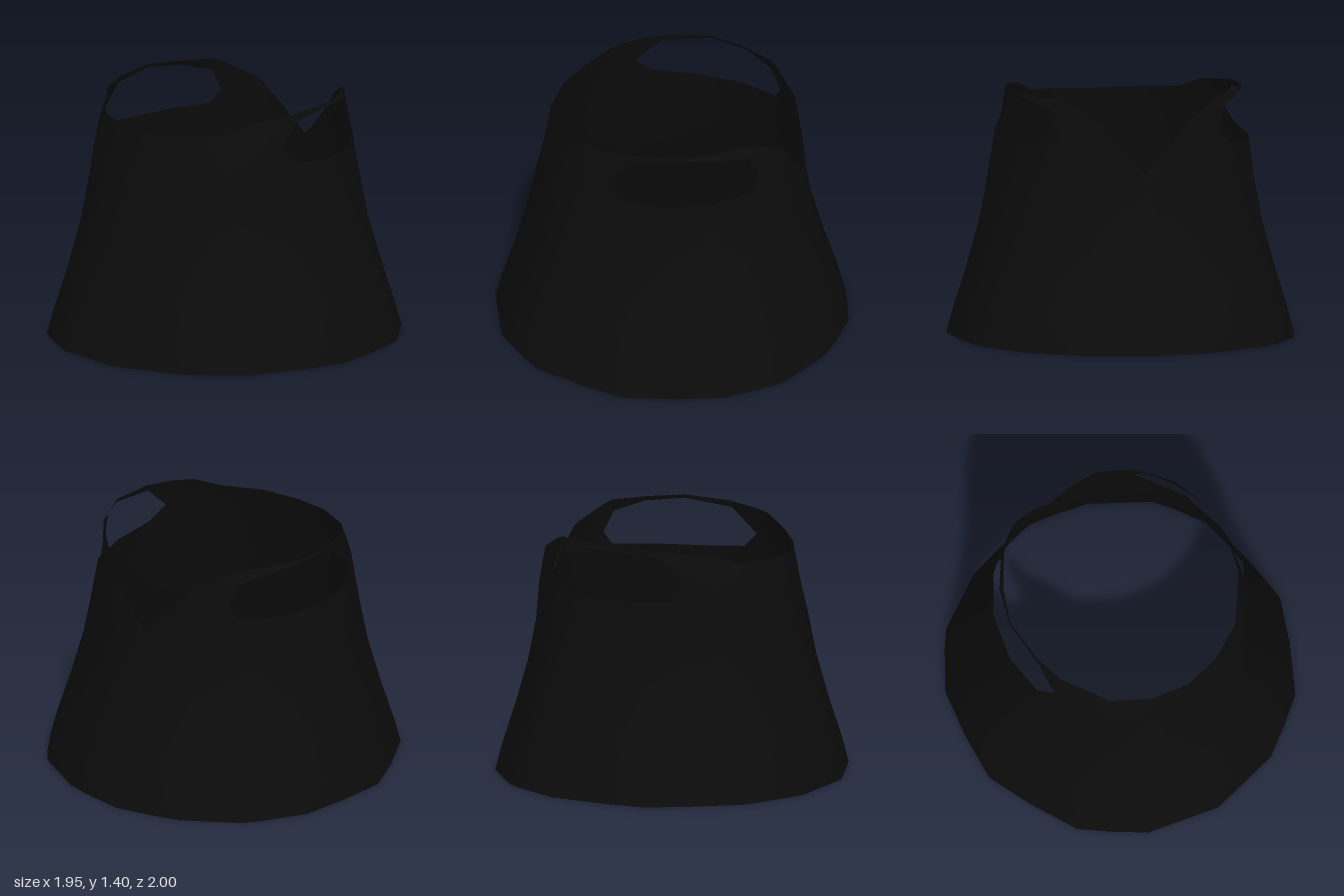
import * as THREE from 'three';
import { mergeVertices } from 'three/addons/utils/BufferGeometryUtils.js';

// Flare of the body: [height, scale of the hem outline]
const FLARE = [[0.015, 1], [0.15, 0.965], [0.4, 0.885], [0.65, 0.815], [0.88, 0.77]];

// Half outline from centre front to centre back.
// hem [x, z], low = top of the body panel, high = lower edge of the yoke, rim = neckline.
// Where low and high differ, the gap between them is the armhole.
const column = (hem, low, rim, high = low) => ({ hem, low, high, rim });
const HALF = [
  column([0, 0.995], [0, 1.1, 0.715], [0, 1.3, 0.68]),
  column([0.41, 0.905], [0.26, 1.1, 0.665], [0.22, 1.31, 0.64]),
  column([0.57, 0.795], [0.46, 1.15, 0.565], [0.42, 1.32, 0.53]),
  column([0.73, 0.67], [0.56, 1.2, 0.43], [0.52, 1.38, 0.4]),
  column([0.87, 0.4], [0.635, 1.23, 0.29], [0.595, 1.39, 0.29]),
  column([0.975, 0.14], [0.69, 1.14, 0.2], [0.64, 1.41, 0.12], [0.645, 1.37, 0.14]),
  column([0.95, -0.14], [0.71, 1.12, -0.05], [0.65, 1.42, -0.14], [0.655, 1.4, -0.14]),
  column([0.9, -0.42], [0.645, 1.125, -0.32], [0.57, 1.415, -0.33], [0.585, 1.385, -0.35]),
  column([0.76, -0.64], [0.51, 1.14, -0.52], [0.455, 1.41, -0.5], [0.475, 1.34, -0.5]),
  column([0.69, -0.73], [0.455, 1.22, -0.555], [0.42, 1.39, -0.54]),
  column([0.38, -0.92], [0.29, 1.1, -0.69], [0.27, 1.3, -0.66]),
  column([0.2, -0.965], [0.155, 1.03, -0.73], [0.15, 1.16, -0.71]),
  column([0, -1], [0, 0.94, -0.755], [0, 1.0, -0.74]),
];

// All points of one column, hem to neckline; side is 1 or -1
function columnPoints({ hem, low, high, rim }, side) {
  const body = FLARE.map(([y, s]) => [hem[0] * s, y, hem[1] * s]);
  return [...body, low, high, rim].map(([x, y, z]) => [x * side, y, z]);
}

function garmentGeometry() {
  const columns = [
    ...HALF.map((c) => columnPoints(c, 1)),
    ...HALF.slice(1, -1).reverse().map((c) => columnPoints(c, -1)),
  ];
  const n = columns.length;
  const rows = columns[0].length;
  const positions = columns.flat(2);
  const index = [];
  for (let i = 0; i < n; i++) {
    const a = i * rows;
    const b = ((i + 1) % n) * rows;
    for (let r = 0; r < rows - 1; r++) {
      if (r === FLARE.length) continue; // armhole gap
      index.push(a + r, b + r, b + r + 1, a + r, b + r + 1, a + r + 1);
    }
  }
  const geometry = new THREE.BufferGeometry();
  geometry.setAttribute('position', new THREE.Float32BufferAttribute(positions, 3));
  geometry.setIndex(index);
  // Weld the body and the yoke where they meet
  const welded = mergeVertices(geometry);
  welded.computeVertexNormals();
  return welded;
}

export function createModel() {
  const group = new THREE.Group();
  group.name = 'sleevelessTop';
  const fabric = new THREE.MeshStandardMaterial({ color: 0x0c0c0c, side: THREE.DoubleSide });
  fabric.name = 'black fabric';
  const garment = new THREE.Mesh(garmentGeometry(), fabric);
  garment.name = 'garment';
  group.add(garment);
  return group;
}
